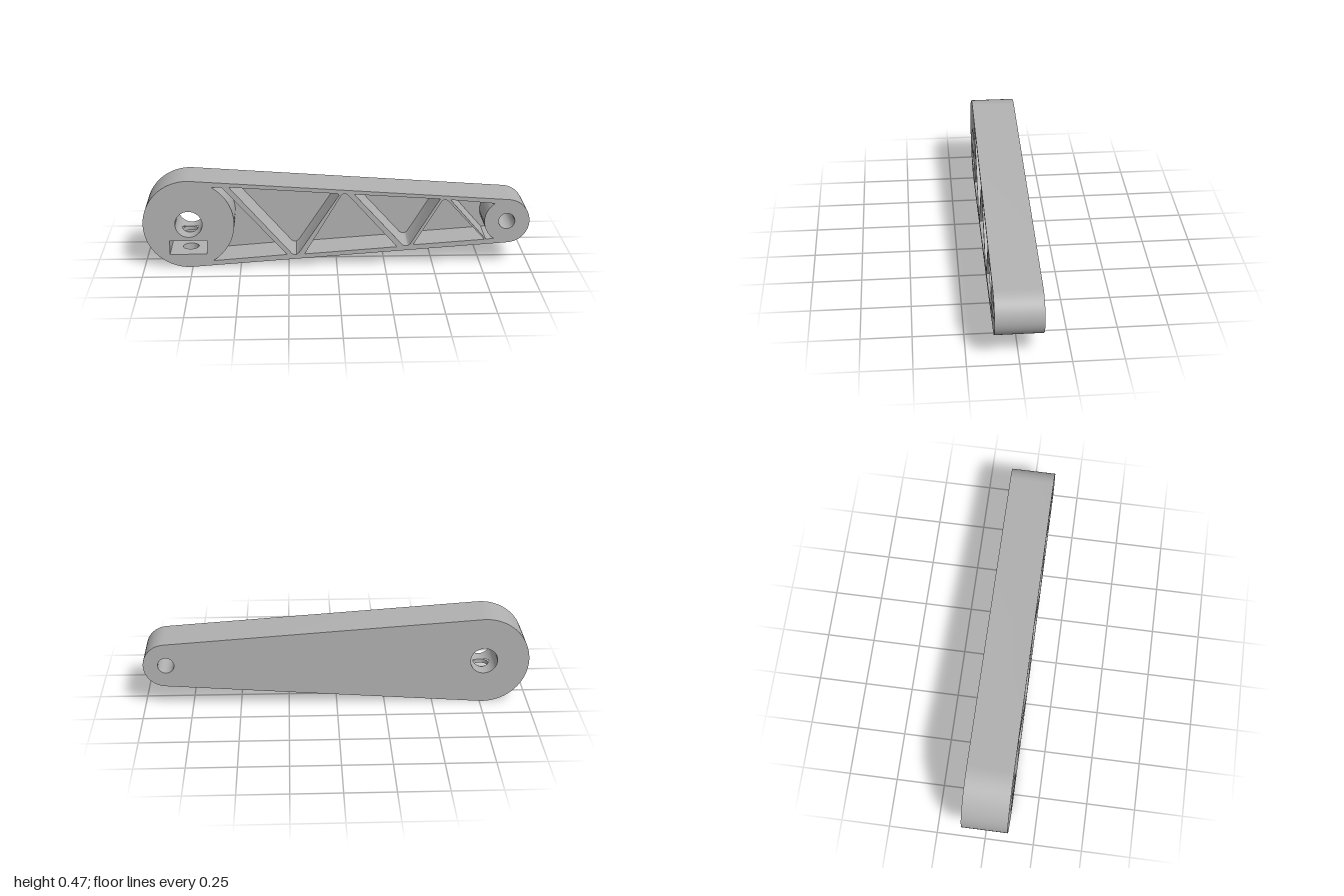
import * as THREE from 'three';
import { toCreasedNormals } from 'three/addons/utils/BufferGeometryUtils.js';

const CY = 0.236, BACK = -0.1175, FRONT = 0.1175;
const POCKET_FLOOR = -0.075, SLOT_FLOOR = -0.096;
const BIG = { x: -0.765, r: 0.235 }, SMALL = { x: 0.882, r: 0.118 };
const BORE_R = 0.07, PIN_R = 0.042, SCREW_R = 0.042;

const V = (x, y) => new THREE.Vector2(x, y);
const clockwise = (pts) => (THREE.ShapeUtils.isClockWise(pts) ? pts : [...pts].reverse());

// Points on an arc, angles in radians
function arc(cx, r, a0, a1, n) {
  return Array.from({ length: n + 1 }, (_, i) => {
    const a = a0 + ((a1 - a0) * i) / n;
    return V(cx + r * Math.cos(a), CY + r * Math.sin(a));
  });
}

// Closely spaced x positions across the screw hole, left to right
const screwXs = Array.from({ length: 25 }, (_, i) => BIG.x - SCREW_R * Math.cos((Math.PI * i) / 24));

// Closed side wall along z; where drilled, a round opening is left around z = 0
function wall(pts, z0, z1, drilled = () => false) {
  const pos = [];
  const gap = (p) => (drilled(p) ? Math.sqrt(Math.max(0, SCREW_R ** 2 - (p.x - BIG.x) ** 2)) : 0);
  const quad = (a, b, a0, a1, b0, b1) => pos.push(
    a.x, a.y, a0, b.x, b.y, b0, b.x, b.y, b1,
    a.x, a.y, a0, b.x, b.y, b1, a.x, a.y, a1);
  pts.forEach((a, i) => {
    const b = pts[(i + 1) % pts.length];
    const ha = gap(a), hb = gap(b);
    if (ha + hb > 0) {
      quad(a, b, z0, -ha, z0, -hb);
      quad(a, b, ha, z1, hb, z1);
    } else quad(a, b, z0, z1, z0, z1);
  });
  const g = new THREE.BufferGeometry();
  g.setAttribute('position', new THREE.Float32BufferAttribute(pos, 3));
  return toCreasedNormals(g, 0.5);
}

// Flat face facing the front
function face(pts, z, holes = []) {
  const s = new THREE.Shape(pts);
  s.holes = holes.map((h) => new THREE.Path(h));
  return new THREE.ShapeGeometry(s).translate(0, 0, z);
}

export function createModel() {
  const group = new THREE.Group();
  const grey = new THREE.MeshStandardMaterial({ color: 0xb2b2b2, side: THREE.DoubleSide });
  grey.name = 'plain grey';
  const add = (name, geometry) => {
    const m = new THREE.Mesh(geometry, grey);
    m.name = name;
    group.add(m);
  };

  // Outline: two round ends joined by tangent lines
  const phi = Math.acos((BIG.r - SMALL.r) / (SMALL.x - BIG.x));
  const tangentX = BIG.x + BIG.r * Math.cos(phi);
  const lowerY = (x) => (x < tangentX
    ? CY - Math.sqrt(BIG.r ** 2 - (x - BIG.x) ** 2)
    : CY - BIG.r * Math.sin(phi) + (x - tangentX) / Math.tan(phi));
  const outline = [
    ...arc(SMALL.x, SMALL.r, -phi, phi, 32),
    ...arc(BIG.x, BIG.r, phi, Math.PI * 1.5 - 0.2, 48),
    ...screwXs.map((x) => V(x, lowerY(x))),
  ];
  const bore = clockwise(arc(BIG.x, BORE_R, 0, Math.PI * 2, 128).slice(0, -1));
  const pin = clockwise(arc(SMALL.x, PIN_R, 0, Math.PI * 2, 48).slice(0, -1));

  // Nut slot below the bore
  const [sx0, sx1, sy0, sy1] = [-0.866, -0.674, 0.072, 0.147];
  const slot = clockwise([
    V(sx0, sy0), ...screwXs.map((x) => V(x, sy0)), V(sx1, sy0),
    V(sx1, sy1), ...[...screwXs].reverse().map((x) => V(x, sy1)), V(sx0, sy1),
  ]);

  // Pockets between the zigzag ribs
  const poly = (...xy) => xy.map(([x, y]) => V(x, y));
  const pockets = [
    [...arc(BIG.x, BIG.r, -1.03, 1.03, 32), ...poly([-0.59, 0.436], [-0.26, 0.064])],
    poly([-0.553, 0.436], [0.003, 0.396], [0.012, 0.388], [-0.196, 0.075], [-0.21, 0.064], [-0.225, 0.064], [-0.235, 0.07]),
    poly([-0.168, 0.066], [0.313, 0.1], [0.06, 0.385], [0.046, 0.396], [0.032, 0.394], [0.024, 0.388]),
    poly([0.089, 0.391], [0.533, 0.361], [0.382, 0.115], [0.37, 0.106], [0.354, 0.105], [0.342, 0.11]),
    poly([0.397, 0.11], [0.768, 0.136], [0.574, 0.35], [0.563, 0.357], [0.55, 0.356], [0.542, 0.348]),
    [...arc(SMALL.x, SMALL.r - 0.002, 2.15, 4.13, 24), ...poly([0.775, 0.138], [0.586, 0.356])],
  ].map(clockwise);

  // Outer shell
  add('outerWall', wall(outline, BACK, FRONT, (p) => p.y < 0.05));
  add('frontFace', face(outline, FRONT, [bore, pin, slot, ...pockets]));
  const back = face(outline.map((p) => V(-p.x, p.y)).reverse(), 0,
    [bore, pin].map((h) => h.map((p) => V(-p.x, p.y))));
  add('backFace', back.rotateY(Math.PI).translate(0, 0, BACK));

  // Through holes
  add('shaftBore', wall(bore, BACK, FRONT, (p) => p.y < CY));
  add('pinHole', wall(pin, BACK, FRONT));

  // Recesses
  pockets.forEach((p, i) => {
    add(`pocketWall${i + 1}`, wall(p, POCKET_FLOOR, FRONT));
    add(`pocketFloor${i + 1}`, face(p, POCKET_FLOOR));
  });
  add('nutSlotWall', wall(slot, SLOT_FLOOR, FRONT, () => true));
  add('nutSlotFloor', face(slot, SLOT_FLOOR));

  // Screw hole from the underside, through the slot, into the bore
  const ring = clockwise(Array.from({ length: 48 }, (_, i) => {
    const a = (i / 48) * Math.PI * 2;
    return V(SCREW_R * Math.cos(a), SCREW_R * Math.sin(a));
  }));
  [[0.003, sy0], [sy1, CY - BORE_R + 0.003]].forEach(([y0, y1], i) => {
    add(`screwHole${i + 1}`, wall(ring, y0, y1).rotateX(-Math.PI / 2).translate(BIG.x, 0, 0));
  });

  return group;
}
